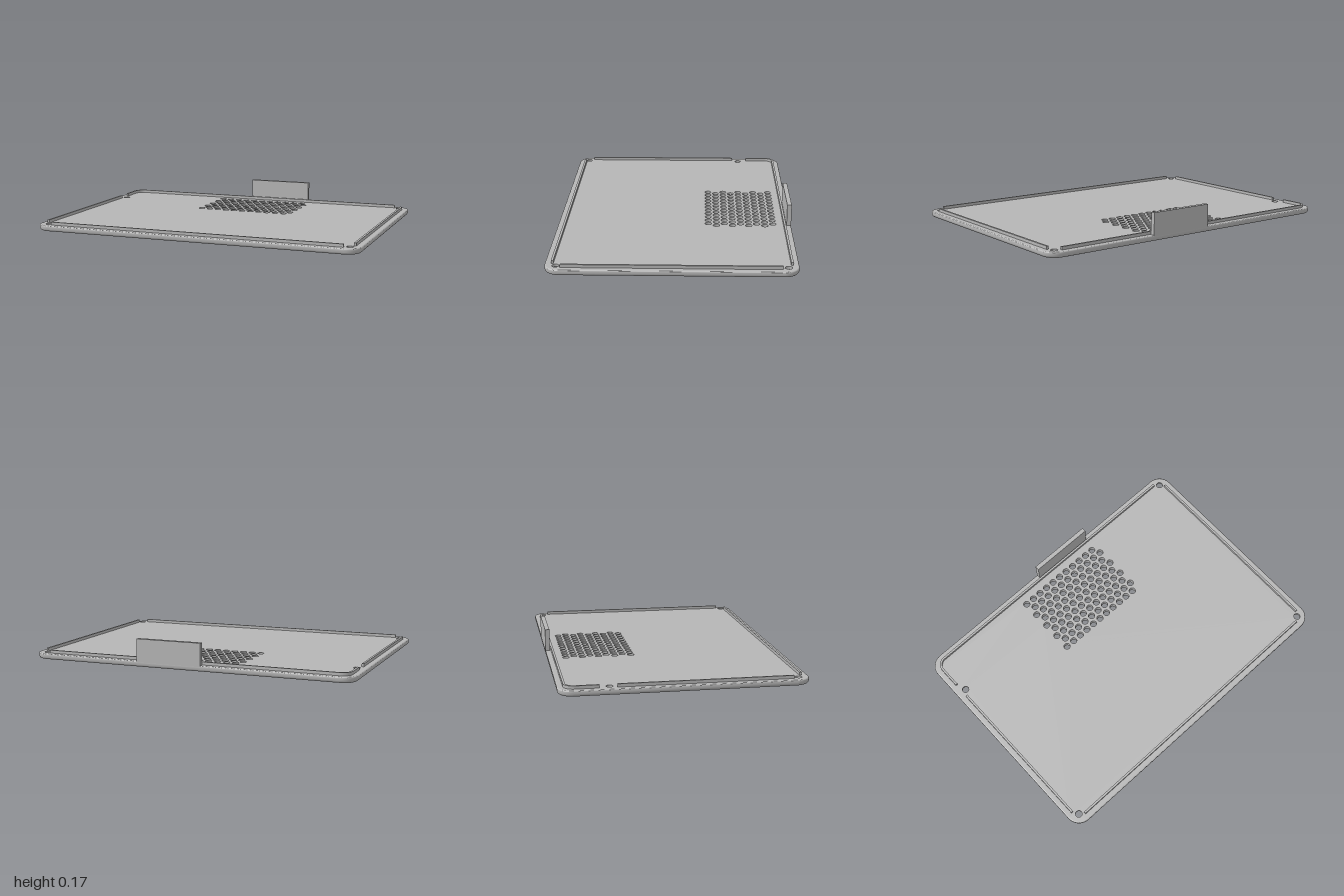
import * as THREE from 'three';
import { toCreasedNormals } from 'three/addons/utils/BufferGeometryUtils.js';

const HX = 1, HZ = 0.703, CORNER = 0.085, TOP = 0.035, LIP_TOP = 0.053;
const EDGE = 0.018; // bottom edge rounding
const SINK = 0.038, HOLE = 0.02;

export function createModel() {
  const model = new THREE.Group();
  model.name = 'ventilatedCover';
  const grey = new THREE.MeshStandardMaterial({ color: 0xb6b6b6 });
  const greyOpen = new THREE.MeshStandardMaterial({ color: 0xb6b6b6, side: THREE.DoubleSide });

  const add = (name, geometry, material = grey) => {
    const mesh = new THREE.Mesh(geometry, material);
    mesh.name = name;
    model.add(mesh);
    return mesh;
  };

  // Rounded outline as [x, z] points, inset from the outer edge
  const outline = (inset) => {
    const pts = [], r = CORNER - inset, steps = 10;
    const corners = [[1, 1], [-1, 1], [-1, -1], [1, -1]];
    corners.forEach(([sx, sz], c) => {
      for (let i = 0; i <= steps; i++) {
        const a = (c + i / steps) * Math.PI / 2;
        pts.push([sx * (HX - CORNER) + r * Math.cos(a), sz * (HZ - CORNER) + r * Math.sin(a)]);
      }
    });
    return pts;
  };

  // Hole positions: staggered vent rows and four screw holes
  const vents = [];
  for (let row = 0; row < 9; row++) {
    for (let i = 0; i < 11; i++) {
      vents.push([-0.281 + i * 0.0563 + (row % 2) * 0.028, -0.595 + row * 0.0488]);
    }
  }
  const screws = [[0.937, -0.643], [-0.937, -0.42], [-0.937, 0.64], [0.937, 0.64]];

  // Flat perforated faces; shape y is -z
  const face = (inset, screwRadius) => {
    const shape = new THREE.Shape(outline(inset).map(([x, z]) => new THREE.Vector2(x, -z)));
    const punch = (list, r) => list.forEach(([x, z]) => {
      const p = new THREE.Path();
      p.absarc(x, -z, r, 0, Math.PI * 2, true);
      shape.holes.push(p);
    });
    punch(vents, HOLE);
    punch(screws, screwRadius);
    return new THREE.ShapeGeometry(shape, 10);
  };
  add('plateTop', face(0.006, HOLE).rotateX(-Math.PI / 2).translate(0, TOP, 0), greyOpen);
  const bottom = face(EDGE, SINK).rotateX(-Math.PI / 2);
  const order = bottom.index.array;
  for (let i = 0; i < order.length; i += 3) [order[i], order[i + 1]] = [order[i + 1], order[i]];
  bottom.computeVertexNormals();
  add('plateBottom', bottom);

  // Rounded rim: loops of the outline lofted from bottom to top
  const profile = [];
  for (let i = 0; i <= 6; i++) {
    const a = i / 6 * Math.PI / 2;
    profile.push([EDGE * (1 - Math.sin(a)), EDGE * (1 - Math.cos(a))]);
  }
  for (let i = 0; i <= 3; i++) {
    const a = i / 3 * Math.PI / 2;
    profile.push([0.006 * (1 - Math.cos(a)), TOP - 0.006 * (1 - Math.sin(a))]);
  }
  const pos = [], idx = [];
  profile.forEach(([inset, y]) => outline(inset).forEach(([x, z]) => pos.push(x, y, z)));
  const n = outline(0).length;
  for (let j = 0; j < profile.length - 1; j++) {
    for (let i = 0; i < n; i++) {
      const a = j * n + i, b = j * n + (i + 1) % n;
      idx.push(a, a + n, b, b, a + n, b + n);
    }
  }
  const rim = new THREE.BufferGeometry();
  rim.setAttribute('position', new THREE.Float32BufferAttribute(pos, 3));
  rim.setIndex(idx);
  add('plateRim', toCreasedNormals(rim, 0.7), greyOpen);

  // Hole walls, countersunk from below at the screws
  const wall = (name, [x, z], lower, y0, y1) => add(name,
    new THREE.CylinderGeometry(HOLE, lower, y1 - y0, 20, 1, true).translate(x, (y0 + y1) / 2, z), greyOpen);
  vents.forEach((p) => wall('ventWall', p, HOLE, 0, TOP));
  screws.forEach((p) => {
    wall('countersink', p, SINK, 0, 0.02);
    wall('screwHoleWall', p, HOLE, 0.02, TOP);
  });

  // Raised locating lips
  const box = (name, x0, x1, y0, y1, z0, z1) => add(name,
    new THREE.BoxGeometry(x1 - x0, y1 - y0, z1 - z0)
      .translate((x0 + x1) / 2, (y0 + y1) / 2, (z0 + z1) / 2));
  const base = TOP - 0.005;
  box('leftLip', 0.951, 0.964, base, LIP_TOP, -0.612, 0.612);
  box('rightLip', -0.966, -0.953, base, LIP_TOP, -0.38, 0.607);
  box('frontLip', -0.907, 0.907, base, LIP_TOP, 0.655, 0.668);

  // Back lip turning the corner onto the right side
  const xo = -0.966, yo = 0.671, w = 0.013, r = 0.06;
  const lip = new THREE.Shape();
  lip.moveTo(0.905, yo);
  lip.lineTo(xo + r, yo);
  lip.absarc(xo + r, yo - r, r, Math.PI / 2, Math.PI, false);
  lip.lineTo(xo, 0.478);
  lip.lineTo(xo + w, 0.478);
  lip.lineTo(xo + w, yo - r);
  lip.absarc(xo + r, yo - r, r - w, Math.PI, Math.PI / 2, true);
  lip.lineTo(0.905, yo - w);
  lip.closePath();
  const lipGeometry = new THREE.ExtrudeGeometry(lip, { depth: LIP_TOP - base, bevelEnabled: false, curveSegments: 10 });
  add('backCornerLip', lipGeometry.rotateX(-Math.PI / 2).translate(0, base, 0));

  // Upright tab on the back edge
  box('backTab', -0.098, 0.304, 0.028, 0.166, -0.704, -0.677);

  return model;
}
